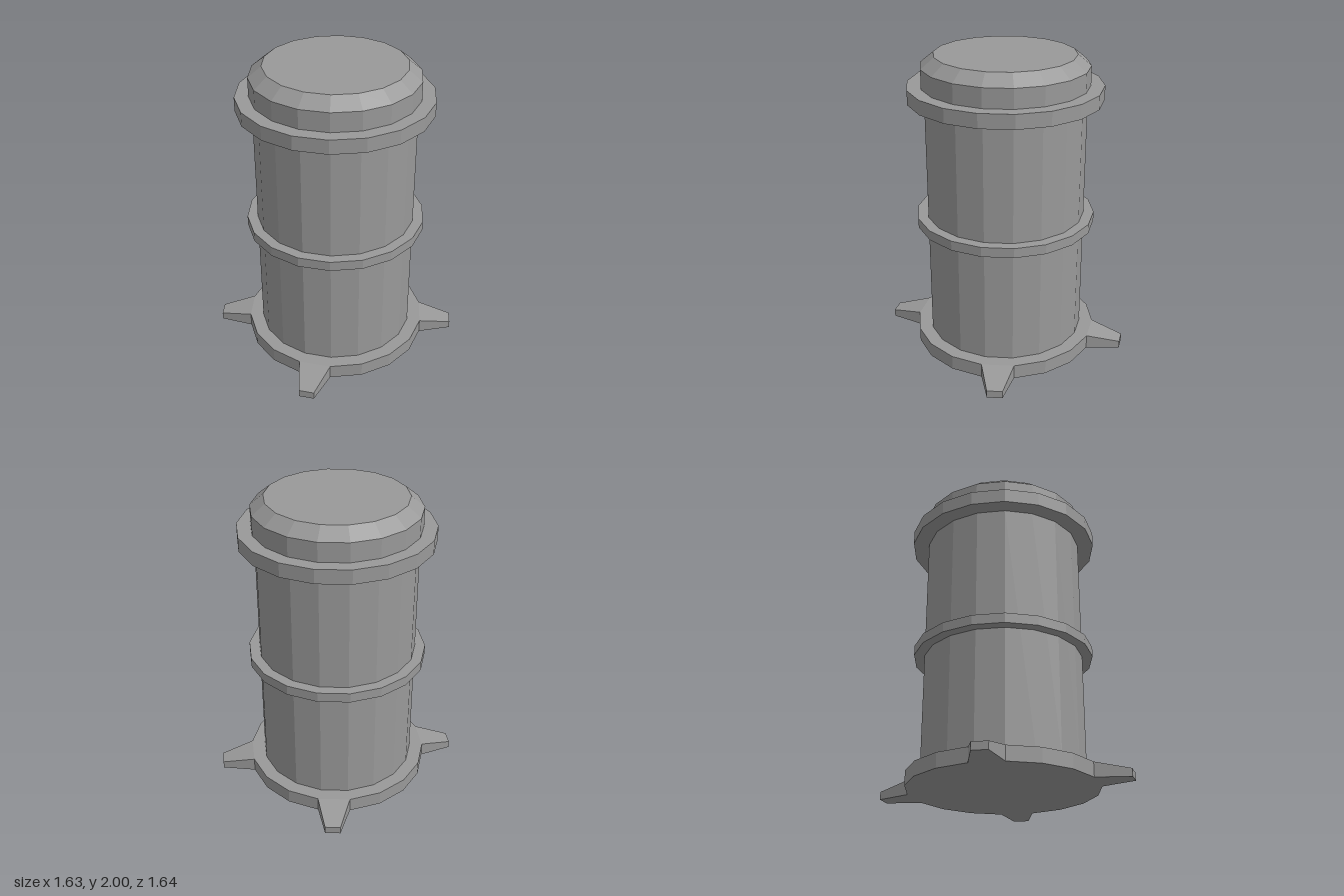
import * as THREE from 'three';

const SIDES = 18;
const STEP = (Math.PI * 2) / SIDES;
const BASE_R = 0.612, BASE_H = 0.095;

const material = new THREE.MeshStandardMaterial({ color: 0x999999, flatShading: true });

// Faceted turned part; profile runs bottom to top as [radius, y]
function turned(name, profile) {
  const points = profile.map(([r, y]) => new THREE.Vector2(r, y));
  const mesh = new THREE.Mesh(new THREE.LatheGeometry(points, SIDES, STEP / 2), material);
  mesh.name = name;
  return mesh;
}

// Flat collar around the body
function collar(name, radius, inner, y0, y1, innerTop = inner) {
  return turned(name, [[inner, y0], [radius, y0], [radius, y1], [innerTop, y1]]);
}

// Foot: a box narrowed and lowered towards its tip, as wide as one base facet at its root
function footGeometry() {
  const root = BASE_R * Math.cos(STEP / 2), tip = 0.82;
  const rootHalf = BASE_R * Math.sin(STEP / 2), tipHalf = 0.05;
  const geometry = new THREE.BoxGeometry(1, 1, 1);
  const p = geometry.attributes.position;
  for (let i = 0; i < p.count; i++) {
    const outer = p.getZ(i) > 0;
    const top = p.getY(i) > 0;
    p.setXYZ(
      i,
      Math.sign(p.getX(i)) * (outer ? tipHalf : rootHalf),
      top ? (outer ? 0.05 : BASE_H) : 0,
      outer ? tip : root
    );
  }
  geometry.computeVertexNormals();
  return geometry;
}

export function createModel() {
  const group = new THREE.Group();
  group.name = 'barrel';
  const bodyR = 0.522, capR = 0.539;

  group.add(
    turned('base', [[0, 0], [BASE_R, 0], [BASE_R, BASE_H], [bodyR, BASE_H]]),
    turned('body', [[bodyR, BASE_H], [bodyR, 1.712]]),
    collar('middleRing', 0.59, bodyR, 0.87, 0.935),
    collar('upperFlange', 0.628, bodyR, 1.712, 1.805, capR),
    turned('cap', [[capR, 1.805], [capR, 1.93], [0.453, 2], [0, 2]])
  );

  // Four feet, each on the middle of a base facet
  const foot = footGeometry();
  [0, 5, 9, 14].forEach((facet, i) => {
    const mesh = new THREE.Mesh(foot, material);
    mesh.name = ['frontFoot', 'leftFoot', 'backFoot', 'rightFoot'][i];
    mesh.rotation.y = facet * STEP;
    group.add(mesh);
  });

  return group;
}
